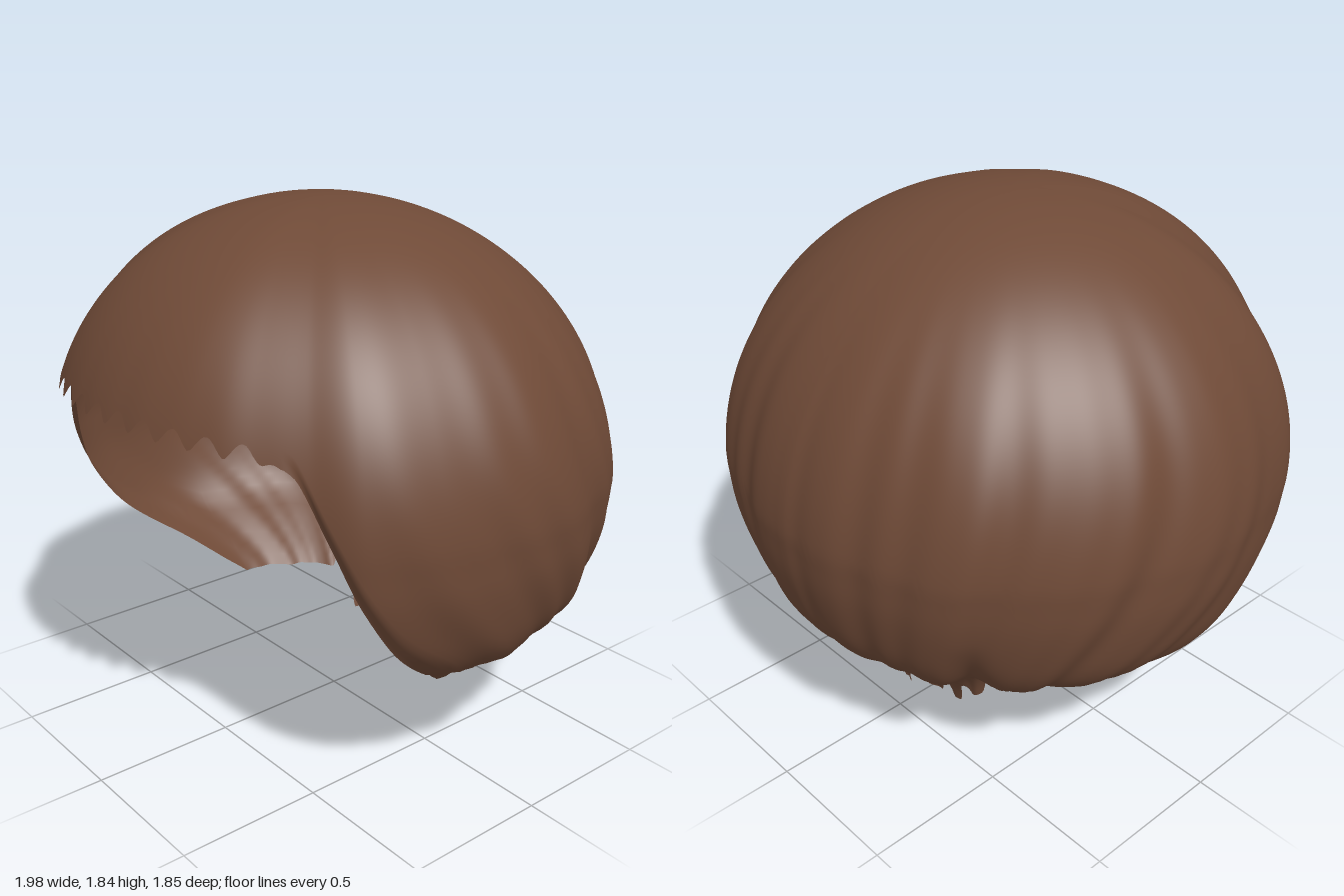
import * as THREE from 'three';

const TOP = 1.85, MID = 0.95;   // crown height and height of the widest ring
const COLS = 576, ROWS = 72;
const { smoothstep, degToRad, lerp } = THREE.MathUtils;

// Index of the key span that holds p
function span(keys, p) {
  let i = 1;
  while (i < keys.length - 1 && p > keys[i][0]) i++;
  return i;
}

// Flat-topped steps between [position, value] keys: rounded tips and notches
function steps(keys, p) {
  const i = span(keys, p), [a, va] = keys[i - 1], [b, vb] = keys[i];
  return lerp(va, vb, smoothstep(p, a, b));
}

// Smooth curve through [position, value] keys
function curve(keys, p) {
  const slope = k => {
    const m = keys[Math.max(k - 1, 0)], n = keys[Math.min(k + 1, keys.length - 1)];
    return (n[1] - m[1]) / (n[0] - m[0]);
  };
  const i = span(keys, p), [a, va] = keys[i - 1], [b, vb] = keys[i];
  const w = b - a, t = (p - a) / w, u = 1 - t;
  return u * u * (1 + 2 * t) * va + t * t * (3 - 2 * t) * vb + t * u * w * (u * slope(i - 1) - t * slope(i));
}

// Widest radius by angle from the front (degrees, same on both sides)
const RADIUS = [[0, 0.965], [23, 0.968], [38, 0.955], [47, 0.965], [56, 1], [70, 0.99],
  [90, 1], [115, 0.985], [132, 0.97], [152, 0.95], [180, 0.925]];

// Taper below the widest ring: [height, share of radius]
const TAPER = [[0, 0.43], [0.15, 0.48], [0.27, 0.57], [0.36, 0.68], [0.42, 0.76], [0.47, 0.835],
  [0.55, 0.9], [0.65, 0.945], [0.8, 0.985], [0.95, 1]];

// Lower edge of the side locks, from the fringe corner to under the ear
const SIDE_EDGE = [[42, 1.225], [45, 1.18], [50, 1.0], [55.5, 0.8], [63, 0.6], [74, 0.44], [82, 0.34], [90, 0.27]];

// Ragged tips round the nape, from the left ear to the right ear
const NAPE_EDGE = [[90, 0.27], [106, 0.25], [118, 0.26], [122, 0.3], [125, 0.25], [128, 0.25], [131, 0.29], [133, 0.18],
  [136, 0.18], [139, 0.29], [144, 0.26], [148, 0.27], [151, 0.11], [154, 0.11], [158, 0.22], [163, 0.01], [169, 0.01],
  [184, 0.24], [190, 0.11], [197, 0.1], [202, 0.2], [205, 0.09], [208, 0.09], [211, 0.2], [214, 0.12], [218, 0.12],
  [223, 0.28], [227, 0.33], [231, 0.25], [248, 0.26], [270, 0.27]];

function edgeHeight(deg) {
  const side = deg > 180 ? 360 - deg : deg;
  if (side < 42) {   // toothed fringe
    const teeth = Math.pow(Math.abs(Math.cos(side * Math.PI / 7)), 1.5);
    const fade = Math.min(1, (42 - side) / 6);
    return 1.26 - 0.04 * (side / 42) ** 2 + 0.05 * teeth * fade;
  }
  return side < 90 ? curve(SIDE_EDGE, side) : steps(NAPE_EDGE, deg);
}

function surfacePoint(deg, y, t) {
  const side = deg > 180 ? 360 - deg : deg;
  const a = degToRad(deg);
  const back = smoothstep(side, 50, 120);
  const up = Math.max(0, (y - MID) / (TOP - MID));
  const power = lerp(2.1, 2, smoothstep(side, 20, 60));
  const share = y > MID ? Math.pow(Math.max(0, 1 - Math.pow(up, power)), 1 / power) : curve(TAPER, y);

  // Strand furrows, swept back towards the nape as they fall
  const drop = Math.max(0, 1.35 - y);
  const lane = side - 38 * drop * drop * Math.sin(a) ** 2;
  const s = degToRad(lane);
  const skew = deg > 180 ? 0.9 : 0;
  const wave = 0.55 * Math.sin(13 * s + skew) + 0.3 * Math.sin(23 * s + 1.3 + skew) + 0.15 * Math.sin(37 * s + 2 * skew);
  const fall = smoothstep(TOP - y, 0.05, 0.8);
  const centre = smoothstep(Math.min(side, 180 - side), 0, 8);
  const depth = (0.007 + 0.02 * back) * fall * centre * Math.min(1, share * 1.5);

  // Deep fold where each side lock meets the nape, and a lip turned in along the face
  const fold = 0.045 * Math.exp(-(((side - 139) / 4) ** 2)) * smoothstep(0.75 - y, 0, 0.3);
  const lip = 0.025 * smoothstep(t, 0.93, 1) * smoothstep(side, 42, 50) * (1 - smoothstep(side, 80, 95));

  const r = curve(RADIUS, side) * share - depth * (0.6 - 0.6 * wave) - fold - lip;
  return [r * Math.sin(a), y, r * Math.cos(a) + 0.05 * up];
}

export function createModel() {
  const group = new THREE.Group();
  group.name = 'bobHair';
  const brown = new THREE.MeshStandardMaterial({ color: 0x6f4a37, side: THREE.DoubleSide });
  brown.name = 'brown hair';

  // One open shell: rings run from the crown to the shaped lower edge
  const positions = [], index = [];
  for (let j = 0; j <= ROWS; j++) {
    const t = Math.pow(j / ROWS, 1.6);
    for (let i = 0; i < COLS; i++) {
      const deg = i / COLS * 360;
      positions.push(...surfacePoint(deg, TOP - (TOP - edgeHeight(deg)) * t, t));
      if (j === ROWS) continue;
      const a = j * COLS + i, b = j * COLS + (i + 1) % COLS;
      const c = a + COLS, d = b + COLS;
      if (j > 0) index.push(a, d, b);
      index.push(a, c, d);
    }
  }
  const geometry = new THREE.BufferGeometry();
  geometry.setAttribute('position', new THREE.Float32BufferAttribute(positions, 3));
  geometry.setIndex(index);
  geometry.computeVertexNormals();

  const hair = new THREE.Mesh(geometry, brown);
  hair.name = 'hairShell';
  group.add(hair);
  return group;
}
